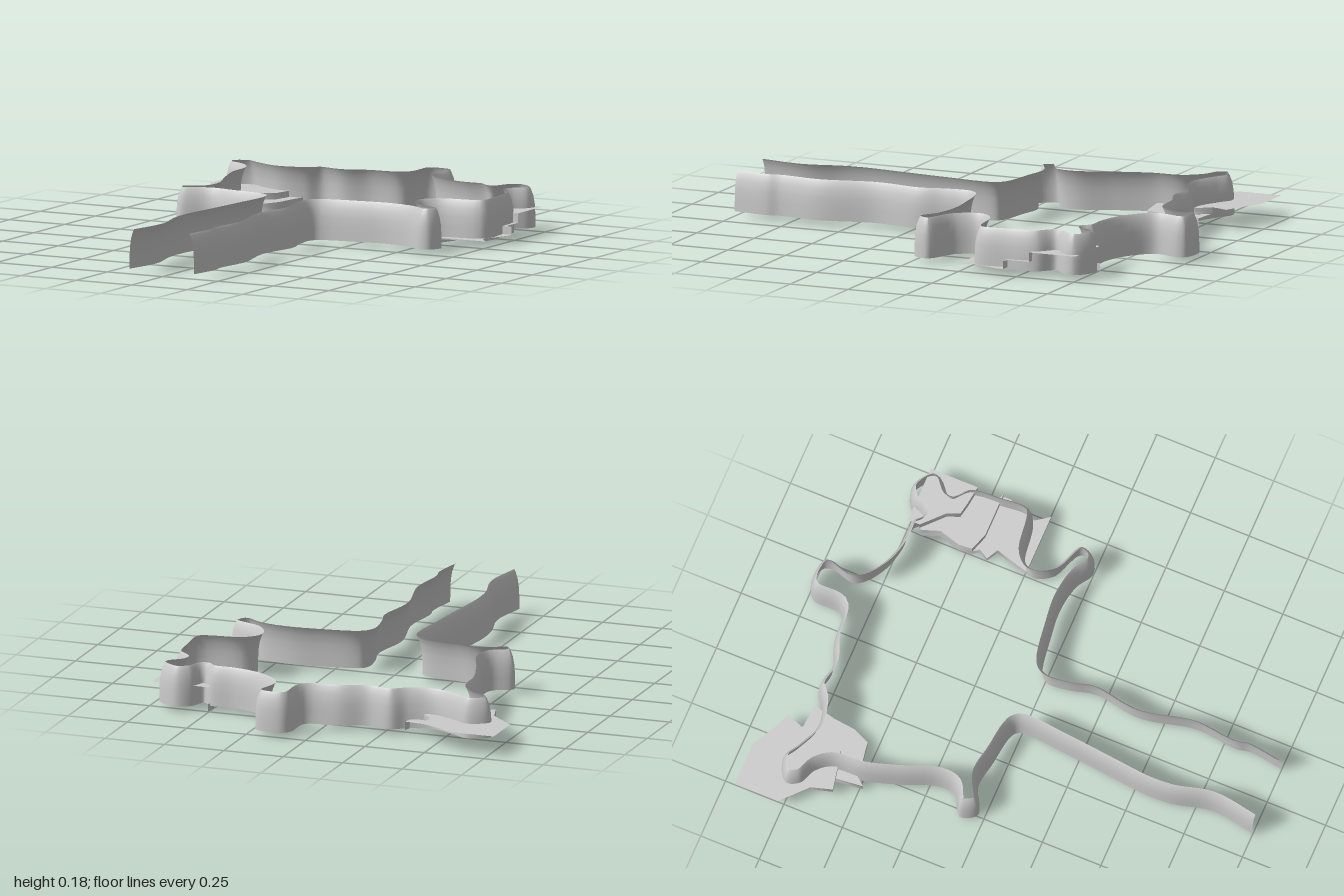
import * as THREE from 'three';

const material = new THREE.MeshStandardMaterial({ color: 0xcccccc, side: THREE.DoubleSide });

// Surface through rows of points, all rows of equal length
function loft(name, rows) {
  const n = rows[0].length, index = [];
  for (let r = 0; r < rows.length - 1; r++) {
    for (let i = 0; i < n - 1; i++) {
      const a = r * n + i, b = a + 1, c = a + n, d = c + 1;
      index.push(a, c, b, b, c, d);
    }
  }
  const geo = new THREE.BufferGeometry().setFromPoints(rows.flat());
  geo.setIndex(index);
  geo.computeVertexNormals();
  const mesh = new THREE.Mesh(geo, material);
  mesh.name = name;
  return mesh;
}

// Horizontal terrace sheet from an [x, z] outline
function sheet(name, outline, y) {
  const shape = new THREE.Shape(outline.map(([x, z]) => new THREE.Vector2(x, -z)));
  const mesh = new THREE.Mesh(new THREE.ShapeGeometry(shape).rotateX(-Math.PI / 2), material);
  mesh.position.y = y;
  mesh.name = name;
  return mesh;
}

// Vertical step face along an [x, z] line
function riser(name, line, y0, y1) {
  return loft(name, [y0, y1].map(y => line.map(([x, z]) => new THREE.Vector3(x, y, z))));
}

// Plan of the cliff foot: up one side of the corridor, round the clearing, and back
const leftCorridor = [[-0.15, 1], [-0.125, 0.82], [-0.16, 0.66], [-0.165, 0.55], [-0.15, 0.4],
  [-0.13, 0.2], [-0.118, 0]];
const clearing = [[-0.14, -0.03], [-0.28, -0.055], [-0.39, -0.07], [-0.5, -0.025],
  [-0.535, -0.09], [-0.46, -0.14], [-0.45, -0.21], [-0.5, -0.35], [-0.545, -0.5], [-0.555, -0.62],
  [-0.6, -0.68], [-0.67, -0.715], [-0.69, -0.77], [-0.61, -0.815], [-0.54, -0.78], [-0.44, -0.74],
  [-0.34, -0.76], [-0.28, -0.8], [-0.18, -0.785], [-0.08, -0.82], [0.06, -0.845], [0.075, -0.97],
  [0.11, -1], [0.21, -0.99], [0.225, -0.955], [0.205, -0.85], [0.29, -0.77], [0.4, -0.735],
  [0.5, -0.73], [0.54, -0.7], [0.57, -0.76], [0.63, -0.79], [0.715, -0.735], [0.71, -0.69],
  [0.655, -0.63], [0.71, -0.57], [0.725, -0.45], [0.72, -0.31], [0.54, -0.265], [0.5, -0.22],
  [0.535, -0.14], [0.66, -0.075], [0.64, -0.01], [0.6, 0], [0.53, -0.04], [0.42, -0.06],
  [0.3, -0.05], [0.14, -0.02]];
const rightCorridor = [[0.115, 0.01], [0.12, 0.1], [0.145, 0.21], [0.12, 0.4], [0.165, 0.63],
  [0.15, 0.8], [0.16, 0.86], [0.142, 1]];

function cliffWall() {
  const points = [...leftCorridor, ...clearing, ...rightCorridor].map(([x, z]) => new THREE.Vector3(x, 0, z));
  const curve = new THREE.CatmullRomCurve3(points, false, 'centripetal');
  const steps = points.length * 6;
  // [height, inward lean]
  const profile = [[0.02, 0], [0.07, 0.001], [0.11, 0.003], [0.145, 0.009], [0.17, 0.018], [0.18, 0.024]];
  const rows = profile.map(([y, lean]) => {
    const row = [];
    for (let i = 0; i <= steps; i++) {
      const p = curve.getPoint(i / steps), t = curve.getTangent(i / steps);
      row.push(new THREE.Vector3(p.x - t.z * lean, y, p.z + t.x * lean));
    }
    return row;
  });
  return loft('cliffWall', rows);
}

// Three rising steps on the left side
function leftTerraces() {
  const group = new THREE.Group();
  group.name = 'leftTerraces';
  const innerLow = [[0.505, -0.475], [0.525, -0.45], [0.5, -0.41], [0.55, -0.385], [0.53, -0.32], [0.51, -0.245]];
  const innerHigh = [[0.505, -0.75], [0.5, -0.69], [0.525, -0.62], [0.5, -0.53], [0.505, -0.475]];
  const stepOne = [[0.505, -0.475], [0.58, -0.45], [0.765, -0.45]];
  const stepTwo = [[0.505, -0.7], [0.59, -0.62], [0.61, -0.57], [0.66, -0.56], [0.738, -0.55]];
  group.add(
    sheet('lowerTerrace', [...innerLow, [0.76, -0.245], [0.72, -0.3], [0.765, -0.42], ...stepOne.slice(1).reverse()], 0.03),
    sheet('middleTerrace', [...stepOne, [0.738, -0.46], ...stepTwo.slice().reverse(), ...innerHigh.slice(1, 4)], 0.062),
    sheet('upperTerrace', [...stepTwo, [0.738, -0.75], [0.505, -0.75]], 0.1),
    riser('innerEdge', [...innerHigh, ...innerLow.slice(1)], 0, 0.03),
    riser('middleEdge', innerHigh.slice(1), 0.03, 0.062),
    riser('lowerStep', stepOne, 0.03, 0.062),
    riser('upperStep', stepTwo, 0.062, 0.1)
  );
  return group;
}

// Two overlapping ledges in the rear right corner
function rightTerraces() {
  const group = new THREE.Group();
  group.name = 'rightTerraces';
  const upperFront = [[-0.67, -0.67], [-0.645, -0.585], [-0.57, -0.6], [-0.48, -0.62], [-0.415, -0.66], [-0.4, -0.74], [-0.45, -0.8]];
  const lowerFront = [[-0.59, -0.6], [-0.578, -0.485], [-0.55, -0.515], [-0.4, -0.54], [-0.37, -0.61], [-0.36, -0.7], [-0.34, -0.79]];
  group.add(
    sheet('upperLedge', [...upperFront, [-0.425, -0.87], [-0.5, -0.9], [-0.59, -0.95], [-0.773, -0.95], [-0.773, -0.765]], 0.08),
    sheet('lowerLedge', [...lowerFront, [-0.44, -0.8], ...upperFront.slice(2, 6).reverse()], 0.055),
    riser('upperLedgeFace', upperFront, 0.055, 0.08),
    riser('lowerLedgeFace', lowerFront, 0.02, 0.055)
  );
  return group;
}

export function createModel() {
  const model = new THREE.Group();
  model.name = 'canyonClearing';
  model.add(cliffWall(), leftTerraces(), rightTerraces());
  return model;
}
